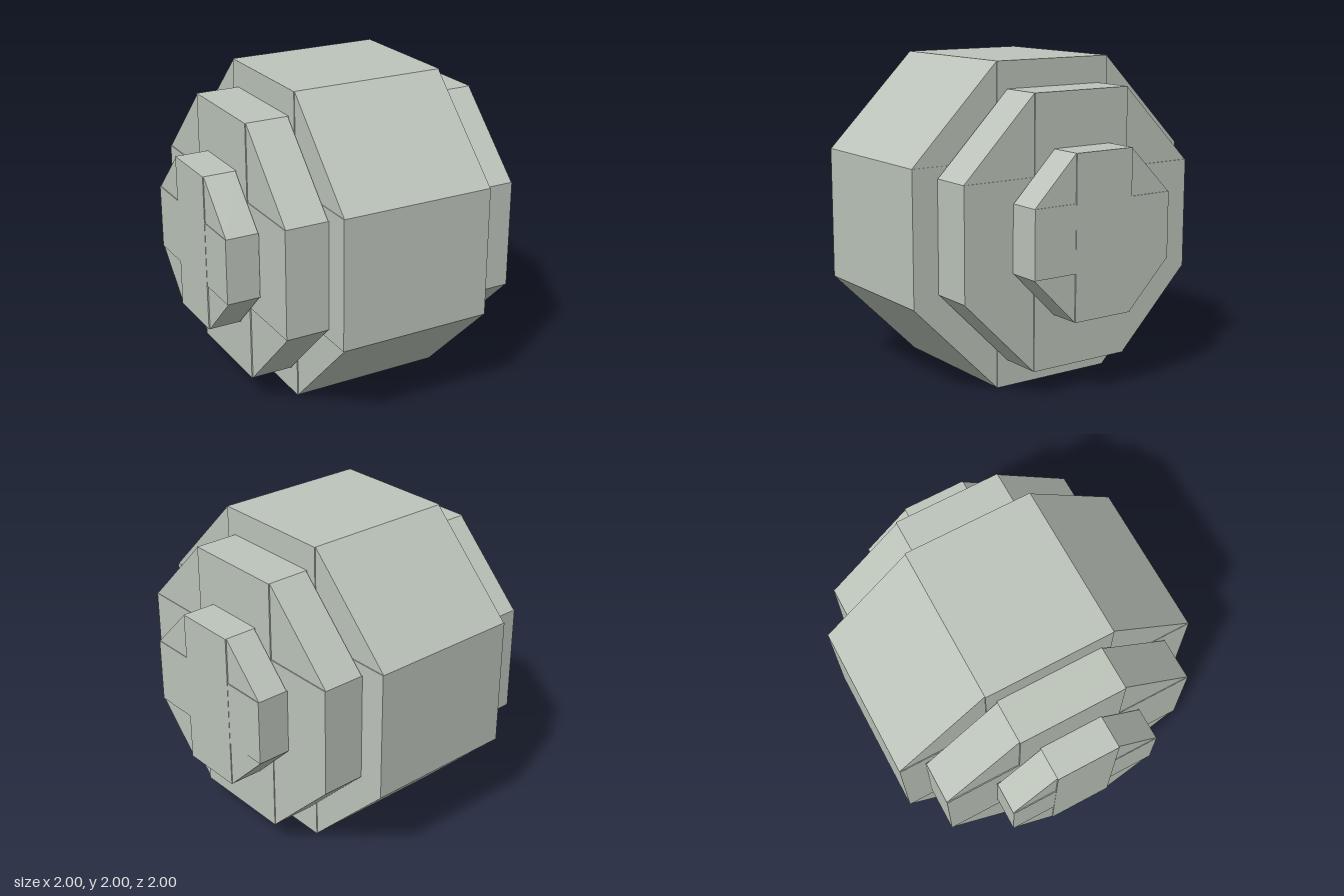
import * as THREE from 'three';

// Octagonal drum along x, made of four crossed boxes; the diagonal pair is slightly narrower
function octagonDrum(name, radius, x0, x1, inset, material) {
  const drum = new THREE.Group();
  drum.name = name;
  const side = 2 * radius * Math.tan(Math.PI / 8);
  for (let i = 0; i < 4; i++) {
    const trim = [0, inset, 0.002, inset + 0.002][i];
    const slab = new THREE.Mesh(
      new THREE.BoxGeometry(x1 - x0 - 2 * trim, 2 * radius, side), material);
    slab.name = `${name}Slab`;
    slab.rotation.x = i * Math.PI / 4;
    drum.add(slab);
  }
  drum.position.set((x0 + x1) / 2, 1, 0);
  return drum;
}

export function createModel() {
  const model = new THREE.Group();
  model.name = 'steppedOctagonalBody';
  const paleGrey = new THREE.MeshStandardMaterial({ color: 0xbcc4ba });
  paleGrey.name = 'paleGreenGrey';

  // Wide central drum
  model.add(octagonDrum('centralDrum', 1, -0.5, 0.5, 0.005, paleGrey));

  // Stepped discs on both sides
  for (const [label, s] of [['left', 1], ['right', -1]]) {
    const add = (part, r, a, b) => model.add(
      octagonDrum(label + part, r, Math.min(s * a, s * b), Math.max(s * a, s * b), 0.006, paleGrey));
    add('MiddleDisc', 0.833, 0.5, 0.783);
    add('OuterCap', 0.5, 0.783, 1);
  }
  return model;
}
